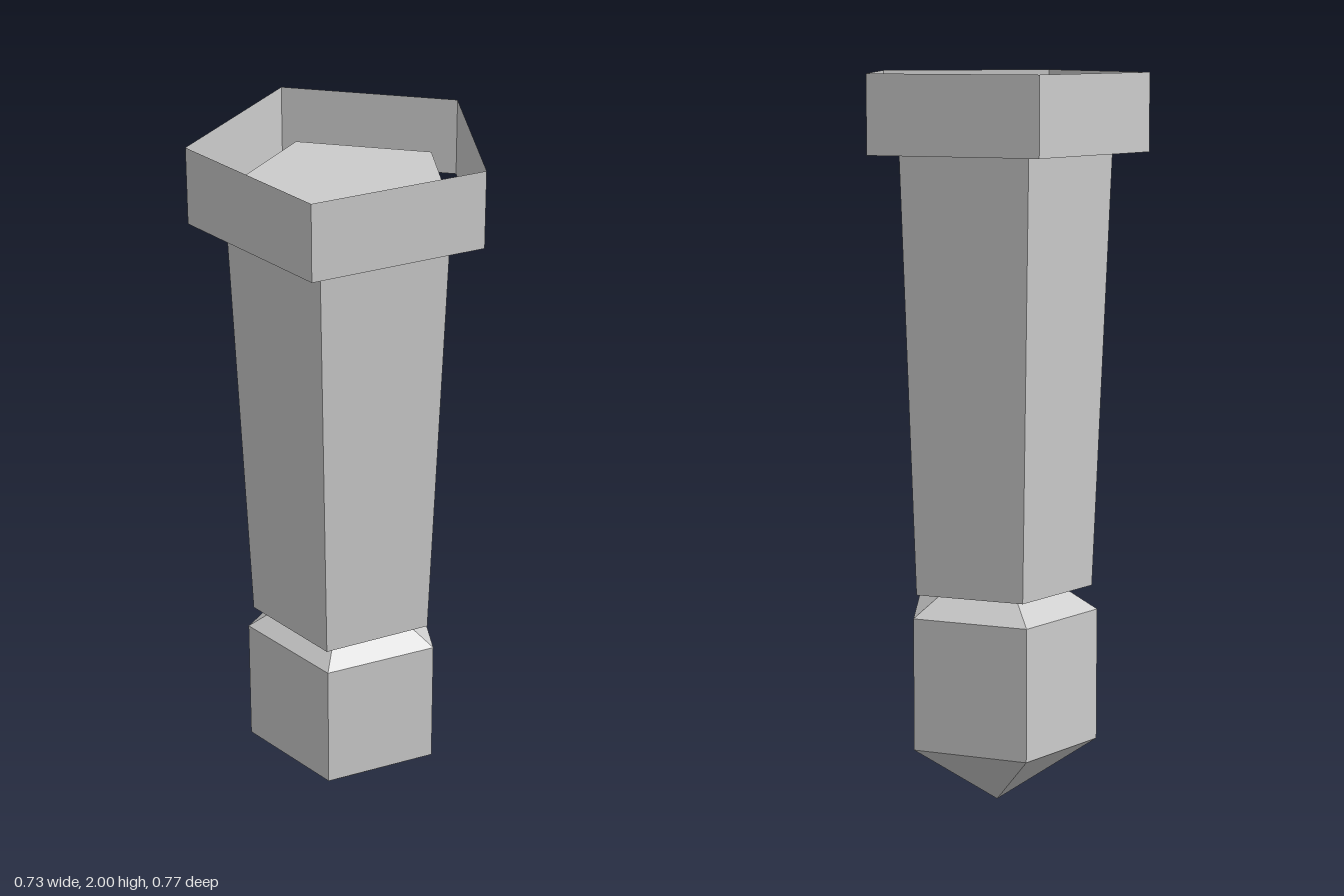
import * as THREE from 'three';

const CENTRE_X = -0.043; // pentagon axis, so the bounding box sits on x = 0

export function createModel() {
  const group = new THREE.Group();
  const grey = new THREE.MeshStandardMaterial({ color: 0xcccccc, flatShading: true, side: THREE.DoubleSide });
  grey.name = 'grey';

  // Five-sided section with one corner pointing to +x
  function pentagon(rTop, rBottom, yBottom, yTop, open, parent, name, zScale = 1) {
    const geo = new THREE.CylinderGeometry(rTop, rBottom, yTop - yBottom, 5, 1, open, Math.PI / 2);
    geo.scale(1, 1, zScale);
    const mesh = new THREE.Mesh(geo, grey);
    mesh.name = name;
    mesh.position.set(CENTRE_X, (yTop + yBottom) / 2, 0);
    parent.add(mesh);
  }

  // Thin open band standing clear of the shaft
  pentagon(0.404, 0.404, 1.79, 2, true, group, 'collar');

  // Tapered closed shaft
  pentagon(0.31, 0.259, 0.61, 1.88, false, group, 'shaft');

  // Pointed block; its upper point is buried in the shaft
  const tip = new THREE.Group();
  tip.name = 'tip';
  group.add(tip);
  pentagon(0, 0.279, 0.545, 0.72, true, tip, 'tipUpperPoint', 0.95);
  pentagon(0.279, 0.279, 0.18, 0.545, true, tip, 'tipBlock', 0.95);
  pentagon(0.279, 0, 0, 0.18, true, tip, 'tipLowerPoint', 0.95);

  return group;
}
